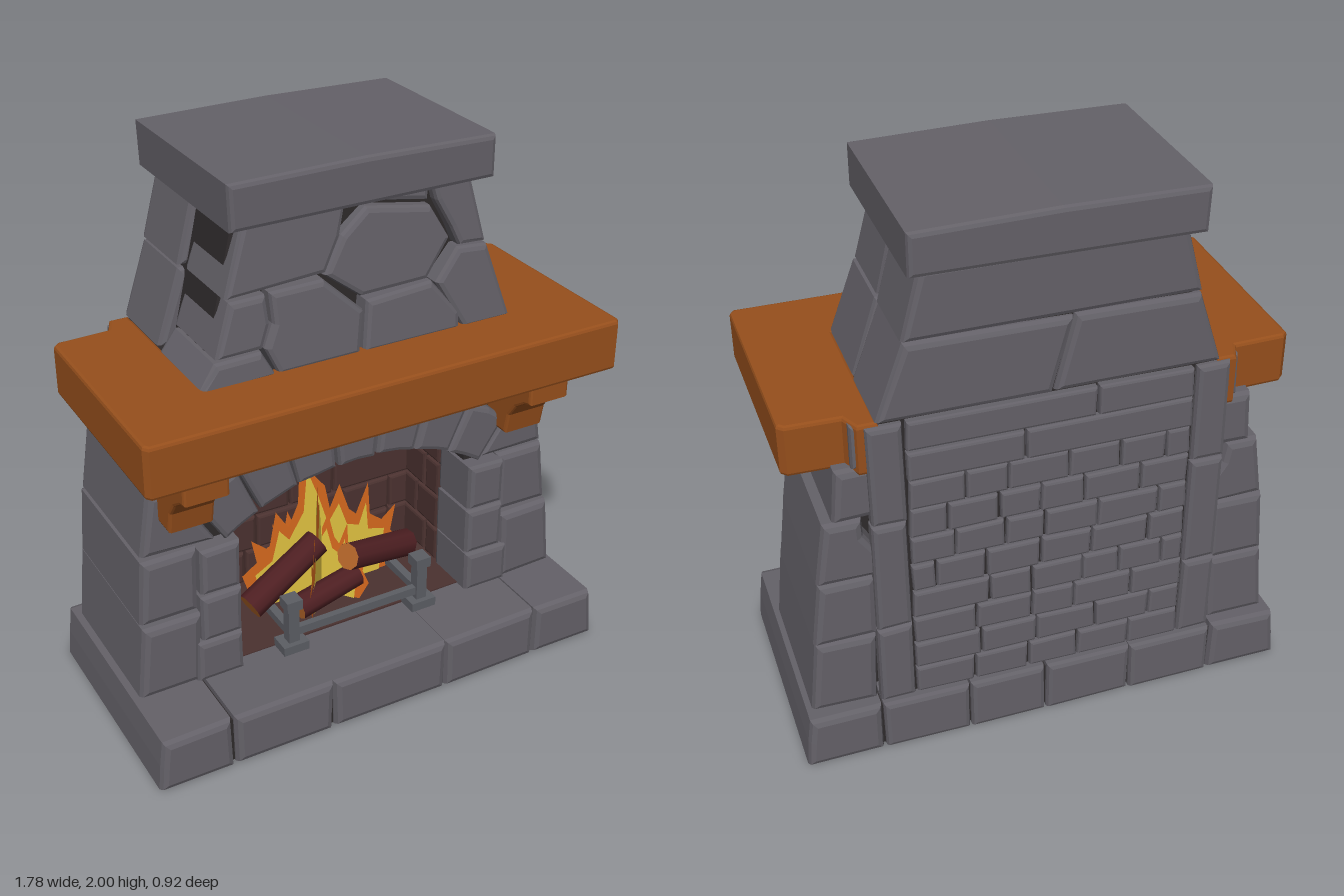
import * as THREE from 'three';

const mat = (name, color, side = THREE.FrontSide) => {
  const m = new THREE.MeshStandardMaterial({ color, side });
  m.name = name;
  return m;
};

export function createModel() {
  const M = {
    stone: mat('grey stone', 0x646168),
    mortar: mat('dark mortar', 0x2e2a2b),
    brick: mat('soot brick', 0x4b3230),
    wood: mat('mantel wood', 0x964f1c),
    bark: mat('log bark', 0x4e1f22),
    cut: mat('log cut end', 0xb8682a),
    iron: mat('andiron iron', 0x5c5e64),
    yellow: mat('flame yellow', 0xe4c542, THREE.DoubleSide),
    orange: mat('flame orange', 0xd96a1e, THREE.DoubleSide),
  };
  let seed = 7;
  const rnd = () => (seed = (seed * 16807) % 2147483647) / 2147483647;
  const model = new THREE.Group();
  model.name = 'fireplace';
  const group = (name) => {
    const g = new THREE.Group();
    g.name = name;
    model.add(g);
    return g;
  };
  const add = (parent, geo, material, name) => {
    const m = new THREE.Mesh(geo, material);
    m.name = name;
    parent.add(m);
    return m;
  };
  const shapeOf = (pts) => new THREE.Shape(pts.map(([x, y]) => new THREE.Vector2(x, y)));

  // chamfered prism that stays inside its outline
  const prism = (pts, z0, z1, b) => new THREE.ExtrudeGeometry(shapeOf(pts), {
    depth: z1 - z0 - 2 * b, bevelThickness: b, bevelSize: b, bevelOffset: -b, bevelSegments: 2, curveSegments: 6,
  }).translate(0, 0, z0 + b);
  // hewn stone: slightly uneven outline, optional backward lean above y = 1.33
  const stone = (parent, name, pts, z0, z1, { b = 0.018, j = 0.008, lean = 0, material = M.stone } = {}) => {
    const rough = pts.map(([x, y]) => [x + (rnd() - 0.5) * j, y + (rnd() - 0.5) * j]);
    const geo = prism(rough, z0, z1, b);
    const p = geo.attributes.position;
    const mid = (z0 + z1) / 2;
    for (let i = 0; lean && i < p.count; i++) {
      if (p.getZ(i) > mid) p.setZ(i, p.getZ(i) - (p.getY(i) - 1.33) * lean);
    }
    geo.computeVertexNormals();
    return add(parent, geo, material, name);
  };
  const rect = (x0, x1, y0, y1) => [[x0, y0], [x1, y0], [x1, y1], [x0, y1]];
  const flip = (pts, s) => (s > 0 ? pts : pts.map(([x, y]) => [-x, y]).reverse());
  // courses of bricks with staggered, uneven joints
  const bricks = (parent, name, x0, x1, y0, y1, rows, w, z0, z1, material) => {
    const h = (y1 - y0) / rows;
    for (let r = 0; r < rows; r++) {
      let x = x0;
      while (x < x1 - 0.01) {
        let e = x + w * (0.75 + rnd() * 0.5) * (x === x0 && r % 2 ? 0.55 : 1);
        if (x1 - e < w * 0.4) e = x1;
        stone(parent, name, rect(x + 0.004, e - 0.004, y0 + r * h + 0.004, y0 + (r + 1) * h - 0.004), z0, z1,
          { b: 0.01, j: 0.006, material });
        x = e;
      }
    }
  };

  // hearth base
  const base = group('hearthBase');
  add(base, new THREE.BoxGeometry(1.72, 0.175, 0.82).translate(0, 0.092, 0.01), M.mortar, 'baseCore');
  for (const s of [-1, 1]) {
    stone(base, 'baseEndStone', flip([[0.62, 0], [0.89, 0], [0.885, 0.1], [0.87, 0.2], [0.62, 0.2]], s), -0.43, 0.45, { b: 0.024 });
  }
  [-0.615, -0.23, 0.23, 0.615].forEach((x, i, a) => {
    if (i < 3) stone(base, 'baseFrontStone', rect(x + 0.004, a[i + 1] - 0.004, 0, 0.2), -0.2, 0.45, { b: 0.024 });
  });
  [-0.615, -0.3, 0.02, 0.3, 0.615].forEach((x, i, a) => {
    if (i < 4) stone(base, 'baseBackStone', rect(x + 0.004, a[i + 1] - 0.004, 0, 0.2), -0.43, -0.2);
  });

  // mortar core with the arched firebox opening
  const core = group('mortarCore');
  const body = shapeOf([[-0.8, 0.18], [0.8, 0.18], [0.73, 0.96], [0.67, 1.0], [0.6, 1.33], [-0.6, 1.33], [-0.67, 1.0], [-0.73, 0.96]]);
  const hole = new THREE.Path();
  hole.moveTo(-0.49, 0.19);
  hole.lineTo(-0.49, 0.76);
  for (let i = -6; i <= 6; i++) hole.lineTo(0.9 * Math.sin(i * 0.0925), 0.02 + 0.9 * Math.cos(i * 0.0925));
  hole.lineTo(0.49, 0.19);
  body.holes.push(hole);
  add(core, new THREE.ExtrudeGeometry(body, { depth: 0.44, bevelEnabled: false }).translate(0, 0, -0.3), M.mortar, 'bodyCore');
  add(core, new THREE.BoxGeometry(1.2, 1.14, 0.12).translate(0, 0.76, -0.32), M.mortar, 'backCore');
  add(core, prism([[-0.54, 1.3], [0.54, 1.3], [0.41, 1.86], [-0.41, 1.86]], -0.38, 0.14, 0.01), M.mortar, 'chimneyCore');

  // side walls and inner jambs
  const walls = group('sideWalls');
  for (const s of [-1, 1]) {
    stone(walls, 'wallStone', flip([[0.62, 0.2], [0.85, 0.2], [0.82, 0.48], [0.61, 0.48]], s), -0.38, 0.21, { b: 0.025 });
    stone(walls, 'wallStone', flip([[0.61, 0.485], [0.825, 0.485], [0.8, 0.73], [0.6, 0.73]], s), -0.38, 0.185, { b: 0.025 });
    stone(walls, 'wallStone', flip([[0.53, 0.735], [0.8, 0.735], [0.765, 0.97], [0.64, 0.97], [0.63, 0.9]], s), -0.38, 0.17, { b: 0.025 });
    stone(walls, 'wallStone', flip([[0.55, 0.975], [0.73, 0.975], [0.715, 1.17], [0.55, 1.17]], s), -0.38, 0.09, { b: 0.025 });
    stone(walls, 'wallStone', flip(rect(0.55, 0.66, 1.17, 1.33), s), -0.38, 0.09);
    [0.2, 0.365, 0.55, 0.735].forEach((y, i, a) => {
      if (i < 3) stone(walls, 'jambStone', flip(rect(0.46, [0.635, 0.61, 0.605][i], y, a[i + 1] - 0.006), s), 0, 0.222 - i * 0.004, { b: 0.02 });
    });
  }

  // arch ring and the stones above it
  const arch = group('arch');
  const polar = (r, d) => [r * Math.sin(d * Math.PI / 180), 0.02 + r * Math.cos(d * Math.PI / 180)];
  for (let i = 0; i < 7; i++) {
    const a = -35 + i * 10 + 0.25, e = a + 9.5, m = a + 4.75, o = 1.075 + (i % 2) * 0.02;
    stone(arch, 'archStone', [polar(o, a), polar(0.88, a), polar(0.88, m), polar(0.88, e), polar(o, e), polar(o + 0.005, m)], -0.06, 0.2);
  }
  stone(arch, 'spandrelStone', [[-0.62, 0.94], [-0.38, 1.06], [-0.16, 1.11], [-0.13, 1.2], [-0.62, 1.2]], 0, 0.17);
  stone(arch, 'spandrelStone', [[-0.14, 1.115], [0.16, 1.11], [0.2, 1.2], [-0.12, 1.2]], 0, 0.17);
  stone(arch, 'spandrelStone', [[0.18, 1.1], [0.38, 1.05], [0.62, 0.94], [0.62, 1.2], [0.21, 1.2]], 0, 0.17);

  // firebox lining
  const firebox = group('fireboxLining');
  add(firebox, new THREE.BoxGeometry(0.98, 0.01, 0.42).translate(0, 0.2, -0.05), M.brick, 'fireboxFloor');
  bricks(firebox, 'fireboxBackBrick', -0.48, 0.48, 0.2, 0.92, 5, 0.22, -0.27, -0.225, M.brick);
  for (const s of [-1, 1]) {
    const side = new THREE.Group();
    side.name = 'fireboxSide';
    bricks(side, 'fireboxSideBrick', -0.12, 0.12, 0.2, 0.78, 4, 0.15, 0, 0.035, M.brick);
    side.rotation.y = -s * Math.PI / 2;
    side.position.set(s * 0.5, 0, -0.12);
    firebox.add(side);
  }

  // back wall
  const back = group('backWall');
  bricks(back, 'backBrick', -0.49, 0.49, 0.2, 1.1, 8, 0.18, -0.405, -0.36, M.stone);
  bricks(back, 'backLintelStone', -0.49, 0.49, 1.1, 1.33, 2, 0.5, -0.41, -0.36, M.stone);
  for (const s of [-1, 1]) {
    [0.2, 0.52, 0.95, 1.33].forEach((y, i, a) => {
      if (i < 3) stone(back, 'backEdgeStone', flip(rect(0.495, 0.615, y + 0.004, a[i + 1] - 0.004), s), -0.41, -0.34);
    });
  }

  // chimney: front rubble, the corner stones reaching back along the sides
  const chimney = group('chimney');
  const corners = [
    [[-0.475, 1.605], [-0.125, 1.62], [-0.07, 1.73], [-0.04, 1.845], [-0.4, 1.845]],
    [[-0.525, 1.42], [-0.36, 1.42], [-0.33, 1.5], [-0.335, 1.595], [-0.465, 1.595]],
    [[-0.59, 1.32], [-0.32, 1.32], [-0.365, 1.412], [-0.53, 1.412]],
    [[0.39, 1.32], [0.575, 1.32], [0.485, 1.6], [0.37, 1.605], [0.29, 1.5]],
    [[0.375, 1.612], [0.485, 1.612], [0.425, 1.845], [0.28, 1.845], [0.29, 1.78], [0.35, 1.68]],
  ];
  const fronts = [
    [[-0.13, 1.62], [0, 1.52], [0.25, 1.525], [0.34, 1.65], [0.27, 1.77], [0.03, 1.81], [-0.06, 1.73]],
    [[-0.31, 1.32], [-0.01, 1.32], [0.01, 1.47], [-0.13, 1.605], [-0.325, 1.6], [-0.32, 1.5], [-0.355, 1.42]],
    [[0, 1.32], [0.37, 1.32], [0.37, 1.39], [0.27, 1.51], [0.02, 1.5]],
    [[0.03, 1.825], [0.26, 1.79], [0.265, 1.845], [-0.03, 1.845]],
  ];
  corners.forEach((p) => stone(chimney, 'chimneyCornerStone', p, -0.1, 0.23, { lean: 0.1 }));
  fronts.forEach((p) => stone(chimney, 'chimneyFrontStone', p, 0.02, 0.23, { lean: 0.1 }));
  stone(chimney, 'chimneyBackStone', [[-0.58, 1.335], [0.0, 1.335], [-0.07, 1.6], [-0.49, 1.6]], -0.41, -0.105, { b: 0.022 });
  stone(chimney, 'chimneyBackStone', [[0.01, 1.335], [0.58, 1.335], [0.49, 1.6], [-0.06, 1.6]], -0.41, -0.105, { b: 0.022 });
  stone(chimney, 'chimneyBackStone', [[-0.49, 1.61], [0.49, 1.61], [0.43, 1.845], [-0.43, 1.845]], -0.41, -0.105, { b: 0.022 });
  stone(chimney, 'chimneyCap', [[-0.47, 1.84], [0.475, 1.845], [0.475, 1.99], [0, 2.0], [-0.475, 1.995]], -0.46, 0.24, { b: 0.016, j: 0 });

  // mantel shelf wrapping the chimney, and its brackets
  const mantel = group('mantel');
  const half = [[0.86, -0.46], [0.875, -0.44], [0.87, 0.3], [0.85, 0.32], [0.67, 0.325], [0.64, 0.39], [0.57, 0.39], [0.57, -0.19]];
  add(mantel, prism([...half, ...flip(half, -1)], 1.15, 1.335, 0.012).rotateX(-Math.PI / 2), M.wood, 'mantelShelf');
  const profile = [[0.13, 1.16], [0.13, 0.87], [0.25, 0.87], [0.265, 0.95], [0.3, 1.0], [0.35, 1.035], [0.385, 1.045], [0.385, 1.16]];
  for (const x of [-0.65, 0.65]) {
    const geo = prism(profile, -0.08, 0.08, 0.01).rotateY(-Math.PI / 2).translate(x, 0, 0);
    add(mantel, geo, M.wood, 'mantelBracket');
  }

  // logs
  const logs = group('logs');
  const log = (a, b, r) => {
    const A = new THREE.Vector3(...a), B = new THREE.Vector3(...b);
    const m = add(logs, new THREE.CylinderGeometry(r, r * 1.05, A.distanceTo(B), 9), [M.bark, M.cut, M.cut], 'log');
    m.position.copy(A).lerp(B, 0.5);
    m.quaternion.setFromUnitVectors(new THREE.Vector3(0, 1, 0), B.sub(A).normalize());
  };
  log([-0.37, 0.34, 0.08], [-0.07, 0.49, 0.03], 0.05);
  log([0.31, 0.36, 0.03], [0, 0.46, 0.13], 0.05);
  log([-0.2, 0.3, 0.12], [0.06, 0.34, 0.09], 0.045);
  log([0.24, 0.27, -0.08], [-0.24, 0.27, -0.08], 0.05);

  // flames: crossed flat tongues, yellow over orange
  const fire = group('fire');
  const outer = [[-0.3, 0.24], [-0.35, 0.4], [-0.29, 0.44], [-0.31, 0.54], [-0.24, 0.48], [-0.21, 0.63], [-0.16, 0.55],
    [-0.12, 0.64], [-0.115, 0.74], [-0.08, 0.86], [-0.07, 0.76], [-0.01, 0.68], [0.01, 0.58], [0.05, 0.67], [0.09, 0.55],
    [0.12, 0.52], [0.17, 0.64], [0.18, 0.5], [0.23, 0.46], [0.29, 0.51], [0.27, 0.4], [0.31, 0.34], [0.25, 0.24]];
  const inner = [[-0.26, 0.24], [-0.3, 0.39], [-0.23, 0.43], [-0.2, 0.55], [-0.16, 0.5], [-0.1, 0.6], [-0.085, 0.77],
    [-0.04, 0.65], [0, 0.52], [0.045, 0.59], [0.08, 0.49], [0.13, 0.47], [0.16, 0.56], [0.17, 0.44], [0.24, 0.42], [0.22, 0.24]];
  for (const [turn, scale] of [[0, 1], [0.9, 0.62], [-0.9, 0.62]]) {
    const f = new THREE.Group();
    f.name = 'flame';
    add(f, new THREE.ShapeGeometry(shapeOf(outer)), M.orange, 'flameEdge');
    for (const z of [-0.005, 0.005]) add(f, new THREE.ShapeGeometry(shapeOf(inner)).translate(0, 0, z), M.yellow, 'flameHeart');
    f.scale.set(scale, turn ? 0.8 : 1, 1);
    f.position.set(turn ? -0.03 : 0, turn ? 0.04 : 0, -0.02);
    f.rotation.y = turn;
    fire.add(f);
  }

  // andirons and grate rail
  const grate = group('andirons');
  const bar = (name, w, h, d, x, y, z) => add(grate, new THREE.BoxGeometry(w, h, d).translate(x, y, z), M.iron, name);
  for (const x of [-0.265, 0.265]) {
    bar('andironFoot', 0.1, 0.035, 0.08, x, 0.218, 0.195);
    bar('andironPost', 0.042, 0.16, 0.042, x, 0.31, 0.195);
    bar('andironKnob', 0.06, 0.04, 0.06, x, 0.395, 0.195);
    bar('andironBar', 0.03, 0.03, 0.3, x, 0.265, 0.04);
  }
  bar('grateRail', 0.5, 0.032, 0.025, 0, 0.27, 0.195);
  return model;
}
